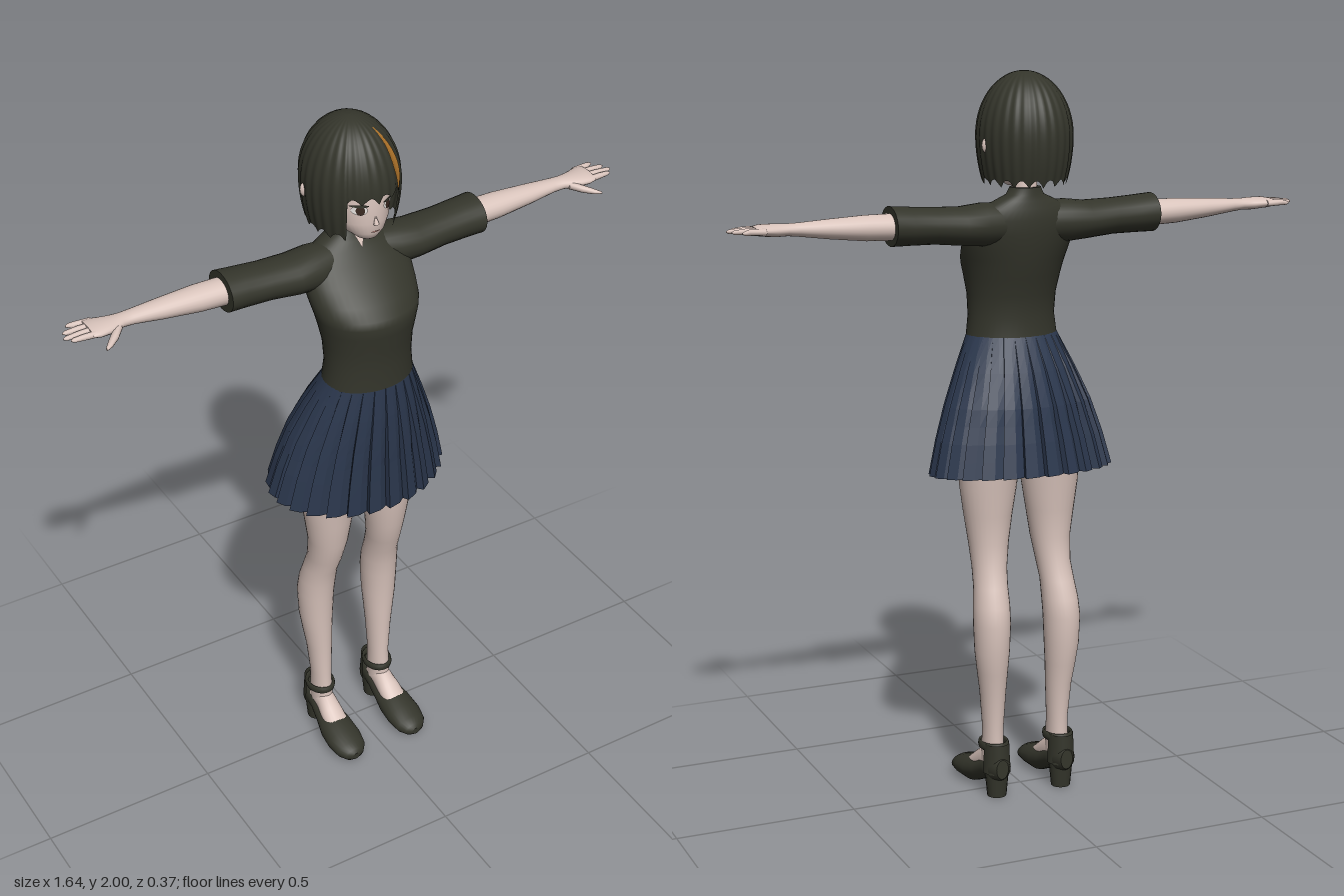
import * as THREE from 'three';

const mat = (name, color, side = THREE.FrontSide) => {
  const m = new THREE.MeshStandardMaterial({ color, side });
  m.name = name;
  return m;
};

// Surface from a rule f(u, v); u runs counter-clockwise, v runs along the axis
function grid(n, m, f, closed = true, caps = false) {
  const pos = [], idx = [], cols = closed ? n : n + 1;
  for (let j = 0; j <= m; j++) for (let i = 0; i < cols; i++) pos.push(...f(i / n, j / m));
  for (let j = 0; j < m; j++) for (let i = 0; i < n; i++) {
    const a = j * cols + i, b = j * cols + (i + 1) % cols;
    idx.push(a, b, b + cols, a, b + cols, a + cols);
  }
  if (caps) for (const j of [0, m]) {
    const start = pos.length / 3, c = [0, 0, 0];
    for (let i = 0; i < n; i++) {
      const p = f(i / n, j / m);
      pos.push(...p);
      p.forEach((q, k) => { c[k] += q / n; });
    }
    pos.push(...c);
    for (let i = 0; i < n; i++) {
      const a = start + i, b = start + (i + 1) % n;
      idx.push(start + n, j ? a : b, j ? b : a);
    }
  }
  const g = new THREE.BufferGeometry();
  g.setAttribute('position', new THREE.Float32BufferAttribute(pos, 3));
  g.setIndex(idx);
  g.computeVertexNormals();
  return g;
}

// Elliptical cross-sections [s, centreA, centreB, radiusA, radiusB] along an axis.
// (A, B) is (y, z) for x, (z, x) for y and (x, y) for z.
function loft(axis, secs, n = 24) {
  const k = 'xyz'.indexOf(axis);
  return grid(n, secs.length - 1, (u, v) => {
    const [s, ca, cb, ra, rb] = secs[Math.round(v * (secs.length - 1))];
    const p = [], t = u * Math.PI * 2;
    p[k] = s;
    p[(k + 1) % 3] = ca + ra * Math.cos(t);
    p[(k + 2) % 3] = cb + rb * Math.sin(t);
    return p;
  }, true, true);
}

// Section given by height, centre x, half width, back z and front z
const body = ([y, cx, rx, zb, zf]) => [y, (zb + zf) / 2, cx, (zf - zb) / 2, rx];

function mirrored(geo) {
  const g = geo.clone().scale(-1, 1, 1), ix = g.index;
  for (let i = 0; i < ix.count; i += 3) {
    const a = ix.getX(i);
    ix.setX(i, ix.getX(i + 2));
    ix.setX(i + 2, a);
  }
  return g;
}

function sample(secs, y) {
  let i = 0;
  while (i < secs.length - 2 && secs[i + 1][0] < y) i++;
  const a = secs[i], b = secs[i + 1], t = (y - a[0]) / (b[0] - a[0]);
  return a.map((q, k) => q + (b[k] - q) * t);
}

export function createModel() {
  const model = new THREE.Group();
  const skin = mat('skin', 0xd8c3bb, THREE.DoubleSide);
  const charcoal = mat('charcoal', 0x34352b, THREE.DoubleSide);
  const navy = mat('navy', 0x2b374d, THREE.DoubleSide);
  const amber = mat('amber', 0xa86f28, THREE.DoubleSide);
  const white = mat('eyeWhite', 0xe6e2de);
  const brown = mat('eyeBrown', 0x3a2a22);
  const lip = mat('lip', 0xa8766e);

  const add = (name, geo, m) => {
    const mesh = new THREE.Mesh(geo, m);
    mesh.name = name;
    model.add(mesh);
  };
  const pair = (name, geo, m) => {
    add(name + 'Left', geo, m);
    add(name + 'Right', mirrored(geo), m);
  };

  // Head and neck
  const head = [
    [1.69, .06, 0, .012, .012], [1.70, .052, 0, .034, .03], [1.72, .035, 0, .062, .055],
    [1.75, .02, 0, .08, .074], [1.79, 0, 0, .1, .083], [1.85, -.02, 0, .115, .095],
    [1.91, -.025, 0, .1, .09], [1.95, -.025, 0, .07, .065]];
  add('head', loft('y', head, 40), skin);
  add('neck', loft('y', [[1.62, -.035, 0, .034, .036], [1.68, -.032, 0, .031, .033],
    [1.74, -.02, 0, .034, .036]]), skin);
  add('nose', new THREE.ConeGeometry(.008, .028, 8).rotateX(-.25).translate(0, 1.762, .101), skin);
  pair('ear', new THREE.SphereGeometry(1, 12, 8).scale(.013, .02, .009).translate(.119, 1.81, -.05), skin);

  // Facial details laid on the face surface
  const patch = (x, y, rx, ry, lift) => {
    const g = new THREE.CircleGeometry(1, 20).scale(rx, ry, 1).translate(x, y, 0);
    const p = g.attributes.position;
    for (let i = 0; i < p.count; i++) {
      const [, cz, , rz, hx] = sample(head, p.getY(i));
      p.setZ(i, cz + rz * Math.sqrt(1 - (p.getX(i) / hx) ** 2) + lift);
    }
    g.computeVertexNormals();
    return g;
  };
  pair('eye', patch(.041, 1.793, .018, .013, .004), white);
  pair('iris', patch(.04, 1.793, .010, .013, .0055), brown);
  pair('lash', patch(.042, 1.806, .021, .004, .007), charcoal);
  add('mouth', patch(0, 1.727, .013, .0022, .003), lip);

  // Bobbed hair with an opening for the face
  const hairPoint = (a, y, s = 1) => {
    const d = y - 1.83;
    const r = s * .126 * (d > 0 ? Math.sqrt(Math.max(0, 1 - (d / .17) ** 2)) : 1 - .13 * (d / .12) ** 2);
    const ridge = 1 + .012 * Math.cos(a * 28);
    return [Math.sin(a) * r * ridge, y, -.027 + Math.cos(a) * r * 1.13 * ridge];
  };
  const hem = a => (Math.cos(a) > Math.cos(.65) ? 1.812 : 1.702) + .02 * Math.abs(Math.sin(a * 9));
  add('hair', grid(168, 20, (u, v) => {
    const a = (u - .5) * Math.PI * 2, h = hem(a);
    return hairPoint(a, h + (2 - h) * Math.sin(v * Math.PI / 2));
  }), charcoal);
  add('hairStreak', grid(6, 16, (u, v) => {
    const w = .03 + .08 * Math.sin(v * Math.PI);
    return hairPoint(.56 + (u - .5) * 2 * w, 1.83 + .15 * v, 1.03);
  }, false), amber);

  // Shirt
  add('shirt', loft('y', [
    [1.28, 0, .129, -.037, .158], [1.34, 0, .122, -.03, .157], [1.40, 0, .125, -.04, .163],
    [1.45, 0, .135, -.055, .172], [1.48, 0, .142, -.063, .175], [1.50, 0, .147, -.068, .168],
    [1.53, 0, .152, -.075, .14], [1.57, 0, .155, -.082, .098], [1.61, 0, .15, -.085, .06],
    [1.64, 0, .12, -.08, .035], [1.66, 0, .085, -.076, .02], [1.675, 0, .052, -.073, .012],
    [1.695, 0, .042, -.071, .006]].map(body), 48), charcoal);
  pair('sleeve', loft('x', [
    [.04, 1.60, -.02, .055, .05], [.12, 1.598, -.018, .058, .066], [.18, 1.597, -.017, .052, .067],
    [.26, 1.602, -.018, .049, .062], [.33, 1.605, -.02, .051, .063], [.38, 1.607, -.021, .053, .065]]), charcoal);
  add('necklineNotch', grid(1, 1, (u, v) => [(u - .5) * .044 * v, 1.645 + .052 * v, .037 - .025 * v], false), skin);

  // Arms and hands
  pair('arm', loft('x', [
    [.34, 1.605, -.022, .036, .043], [.45, 1.607, -.024, .034, .04], [.55, 1.61, -.024, .026, .032],
    [.63, 1.613, -.024, .018, .024], [.66, 1.614, -.022, .016, .024], [.69, 1.614, -.018, .017, .033],
    [.73, 1.616, -.02, .015, .042], [.75, 1.616, -.024, .011, .041]]), skin);
  [[.008, .004, .805], [-.014, -.013, .818], [-.034, -.036, .81], [-.054, -.062, .79]].forEach(([z0, z1, tip], i) => {
    pair('finger' + (i + 1), loft('x', [
      [.725, 1.616, z0, .009, .0095], [.77, 1.617, (z0 + z1) / 2, .008, .0085],
      [tip - .008, 1.616, z1, .006, .0065], [tip, 1.616, z1, .002, .002]], 10), skin);
  });
  pair('thumb', loft('x', [
    [.67, 1.612, -.008, .011, .018], [.695, 1.608, .022, .011, .017],
    [.72, 1.603, .045, .008, .012], [.738, 1.601, .061, .003, .005]], 12), skin);

  // Pleated skirt, with the hem a little higher at the back
  const skirt = [[.9, 0, .262, -.188, .184], [1.0, 0, .238, -.163, .178], [1.1, 0, .207, -.133, .172],
    [1.2, 0, .167, -.087, .165], [1.29, 0, .127, -.035, .155]].map(body);
  const pleats = 26;
  add('skirt', grid(pleats * 3, 8, (u, v) => {
    const [y, cz, , rz, rx] = sample(skirt, .9 + .39 * v);
    const step = Math.round(u * pleats * 3) % 3;
    const a = (u + [0, .25, .28][step] / pleats) * Math.PI * 2;
    const r = 1 - [0, .03, .09][step] * Math.min(1, (1 - v) * 1.6);
    return [Math.sin(a) * rx * r, y + .0175 * (1 - v) * (1 - Math.cos(a)), cz + Math.cos(a) * rz * r];
  }).toNonIndexed(), navy);
  model.children.at(-1).geometry.computeVertexNormals();

  // Hips and legs
  add('hips', loft('y', [[1.0, 0, .09, -.06, .08], [1.04, 0, .15, -.09, .11],
    [1.12, 0, .155, -.085, .12], [1.25, 0, .11, -.03, .13]].map(body)), skin);
  pair('leg', loft('y', [
    [.08, .098, .03, -.075, .015], [.13, .098, .029, -.072, .01], [.2, .098, .029, -.07, .004],
    [.3, .1, .036, -.08, .005], [.36, .103, .042, -.091, .006], [.42, .105, .048, -.1, .008],
    [.5, .105, .051, -.105, .013], [.55, .103, .05, -.096, .02], [.6, .1, .047, -.078, .029],
    [.65, .096, .048, -.061, .048], [.72, .093, .056, -.052, .066], [.8, .093, .068, -.058, .078],
    [.88, .092, .08, -.068, .088], [.95, .09, .084, -.075, .1], [1.08, .085, .085, -.09, .11]].map(body), 28), skin);
  pair('foot', loft('z', [[-.05, .098, .1, .028, .04], [0, .098, .087, .03, .045],
    [.04, .1, .07, .035, .034], [.085, .102, .05, .036, .02]]), skin);

  // Heeled strap shoes
  pair('shoe', loft('z', [
    [-.102, .098, .088, .018, .028], [-.08, .098, .085, .034, .04], [-.03, .098, .075, .036, .034],
    [.02, .1, .053, .042, .034], [.06, .102, .042, .05, .041], [.11, .103, .034, .053, .033],
    [.15, .103, .027, .046, .026], [.17, .103, .022, .03, .019], [.178, .103, .02, .012, .01]]), charcoal);
  pair('heelCounter', new THREE.CylinderGeometry(.042, .046, .085, 20, 1, true, Math.PI / 2, Math.PI)
    .scale(.85, 1, 1).translate(.098, .113, -.055), charcoal);
  pair('ankleStrap', new THREE.TorusGeometry(.045, .006, 8, 28).rotateX(Math.PI / 2)
    .scale(.82, 2, 1).translate(.098, .146, -.038), charcoal);
  pair('shoeHeel', new THREE.CylinderGeometry(.034, .027, .075, 16).translate(.098, .0375, -.06), charcoal);

  return model;
}
